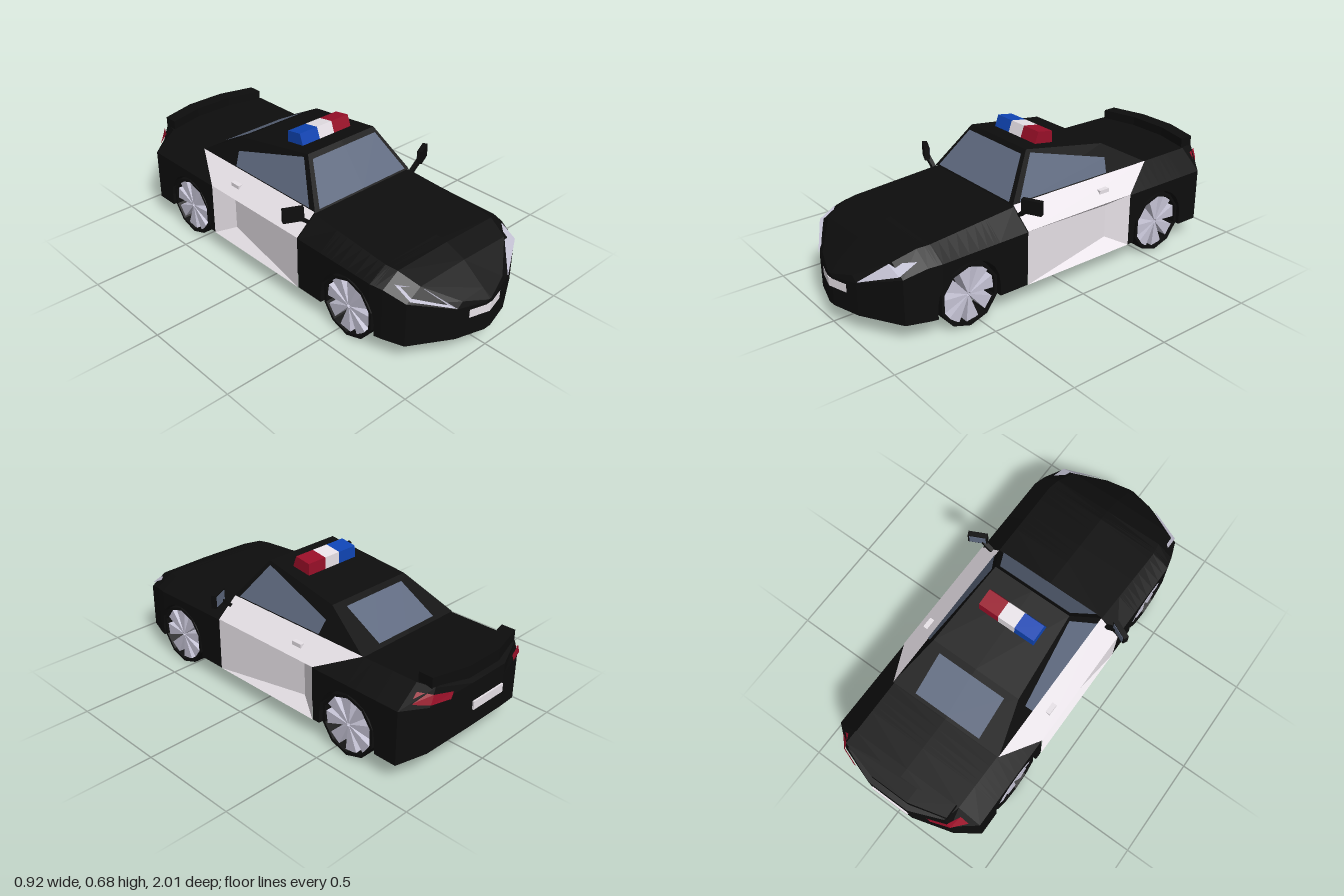
import * as THREE from 'three';

const BLACK = 0x0d0d0d, WHITE = 0xe8e2e8, GLASS = 0x5f6a80, SILVER = 0xc6c4d6, RED = 0x990f28, BLUE = 0x0f45b5;
const mats = {};
const mat = (color) => (mats[color] ??= new THREE.MeshStandardMaterial({ color, flatShading: true }));

function add(group, name, geo, color) {
  const mesh = new THREE.Mesh(geo, mat(color));
  mesh.name = name;
  group.add(mesh);
  return mesh;
}

function fromTriangles(pos) {
  const g = new THREE.BufferGeometry();
  g.setAttribute('position', new THREE.Float32BufferAttribute(pos, 3));
  g.computeVertexNormals();
  return g;
}

// Flat faces given for the left side (+x), mirrored to the right
function panels(faces) {
  const pos = [];
  const fan = (f) => {
    for (let i = 1; i < f.length - 1; i++) pos.push(...f[0], ...f[i], ...f[i + 1]);
  };
  for (const f of faces) {
    fan(f);
    fan(f.map(([x, y, z]) => [-x, y, z]).reverse());
  }
  return fromTriangles(pos);
}

// Body stations: z, half width, shoulder y, deck half width, deck y, centre y, bottom y
const KEYS = [
  [1.0, 0.02, 0.23, 0.01, 0.24, 0.24, 0.09],
  [0.96, 0.16, 0.245, 0.13, 0.27, 0.275, 0.09],
  [0.85, 0.35, 0.305, 0.27, 0.355, 0.36, 0.09],
  [0.75, 0.385, 0.34, 0.3, 0.395, 0.4, 0.09],
  [0.69, 0.4, 0.345, 0.31, 0.4, 0.41, 0.09],
  [0.246, 0.4, 0.35, 0.3, 0.435, 0.44, 0.09],
  [0.244, 0.33, 0.33, 0.29, 0.435, 0.44, 0.09],
  [-0.374, 0.33, 0.33, 0.29, 0.435, 0.44, 0.09],
  [-0.376, 0.4, 0.35, 0.295, 0.44, 0.44, 0.09],
  [-0.85, 0.4, 0.35, 0.29, 0.44, 0.44, 0.09],
  [-0.93, 0.3, 0.36, 0.27, 0.44, 0.44, 0.14],
  [-0.992, 0.11, 0.36, 0.11, 0.42, 0.42, 0.21],
];
const AXLES = [0.555, -0.575], ARCH = 0.16, HUB_Y = 0.15;

function stationAt(z) {
  let i = 0;
  while (i < KEYS.length - 2 && KEYS[i + 1][0] > z) i++;
  const a = KEYS[i], b = KEYS[i + 1], t = (a[0] - z) / (a[0] - b[0]);
  return a.map((v, k) => v + (b[k] - v) * t);
}

// Lower body lofted from nose to tail, with the wheel arches cut in
function bodyGeometry() {
  const archY = (z) => {
    const c = AXLES.find((a) => Math.abs(z - a) < ARCH);
    return c === undefined ? 0 : HUB_Y + Math.sqrt(ARCH ** 2 - (z - c) ** 2);
  };
  const cuts = KEYS.map((k) => [k[0], archY(k[0])]);
  for (const c of AXLES) {
    cuts.push([c + ARCH + 1e-4, 0], [c - ARCH - 1e-4, 0]);
    for (let i = 0; i <= 10; i++) {
      const a = (i / 10) * Math.PI;
      cuts.push([c + ARCH * Math.cos(a), HUB_Y + ARCH * Math.sin(a)]);
    }
  }
  cuts.sort((a, b) => b[0] - a[0]);
  const rings = cuts.map(([z, arch]) => {
    const [, w, sh, xd, yd, yc, yb] = stationAt(z);
    const inner = Math.min(0.285, w), ya = Math.max(yb, arch);
    const half = [[inner, yb], [inner, ya], [w, ya], [w, sh], [xd, yd]];
    const left = half.map(([x, y]) => [x, y, z]);
    const right = half.map(([x, y]) => [-x, y, z]).reverse();
    return [[0, yb, z], ...left, [0, yc, z], ...right];
  });
  const pos = [], n = rings[0].length;
  for (let i = 0; i < rings.length - 1; i++) {
    for (let j = 0; j < n; j++) {
      const k = (j + 1) % n;
      const a = rings[i][j], b = rings[i][k], c = rings[i + 1][j], d = rings[i + 1][k];
      pos.push(...a, ...c, ...d, ...a, ...d, ...b);
    }
  }
  const first = rings[0], last = rings[rings.length - 1];
  for (let j = 1; j < n - 1; j++) {
    pos.push(...first[0], ...first[j], ...first[j + 1], ...last[0], ...last[j + 1], ...last[j]);
  }
  return fromTriangles(pos);
}

// Ten-sided open tyre with wedge spokes
function makeWheel(side, z) {
  const wheel = new THREE.Group();
  wheel.name = (z > 0 ? 'front' : 'rear') + (side > 0 ? 'Left' : 'Right') + 'Wheel';
  const ring = (r) => Array.from({ length: 10 }, (_, i) => {
    const a = Math.PI / 2 + (i * Math.PI) / 5;
    return new THREE.Vector2(r * Math.cos(a), r * Math.sin(a));
  });
  const tyre = new THREE.Shape(ring(0.15));
  tyre.holes.push(new THREE.Path(ring(0.136).reverse()));
  const spokes = Array.from({ length: 8 }, (_, i) => {
    const a = 0.14 + (i * Math.PI) / 4;
    const p = (r, da) => new THREE.Vector2(r * Math.cos(a + da), r * Math.sin(a + da));
    return new THREE.Shape([p(0.01, -0.35), p(0.132, -0.24), p(0.132, 0.24), p(0.01, 0.35)]);
  });
  const extrude = (shape, depth) =>
    new THREE.ExtrudeGeometry(shape, { depth, bevelEnabled: false }).translate(0, 0, -depth / 2).rotateY(Math.PI / 2);
  add(wheel, 'tyre', extrude(tyre, 0.1), BLACK);
  add(wheel, 'spokes', extrude(spokes, 0.08), SILVER);
  wheel.position.set(side * 0.345, HUB_Y, z);
  return wheel;
}

export function createModel() {
  const car = new THREE.Group();
  car.name = 'patrolCar';
  add(car, 'body', bodyGeometry(), BLACK);

  // Cabin and its glass, on sloping planes
  const wallX = (y, off = 0) => 0.3 - (y - 0.44) * 0.475 + off;
  const wall = (y, z, off) => [wallX(y, off), y, z];
  const A = wall(0.44, 0.25), B = wall(0.64, 0.1), C = wall(0.575, -0.33), D = wall(0.44, -0.57);
  const mid = ([, y, z]) => [0, y, z];
  add(car, 'cabin', panels([
    [mid(A), A, B, mid(B)], [mid(B), B, C, mid(C)], [mid(C), C, D, mid(D)], [A, D, C, B],
  ]), BLACK);
  const screen = (x, y) => [x, y + 0.003, 0.254 - (y - 0.44) * 0.75];
  add(car, 'windscreen', panels([[screen(0, 0.447), screen(0.272, 0.447), screen(0.195, 0.618), screen(0, 0.618)]]), GLASS);
  const back = (x, z) => [x, 0.579 + (z + 0.33) * 0.5625, z - 0.002];
  add(car, 'rearWindow', panels([[back(0, -0.36), back(0.18, -0.36), back(0.18, -0.553), back(0, -0.553)]]), GLASS);
  add(car, 'sideWindows', panels([[
    wall(0.45, 0.21, 0.004), wall(0.45, -0.31, 0.004), wall(0.515, -0.325, 0.004), wall(0.625, 0.085, 0.004),
  ]]), GLASS);

  // White doors with a scooped lower panel
  const T1 = [0.402, 0.355, 0.245], T2 = [0.402, 0.355, -0.375];
  const B1 = [0.402, 0.09, 0.245], B2 = [0.402, 0.09, -0.375];
  const It = [0.345, 0.31, -0.27], Ib = [0.345, 0.145, -0.27];
  add(car, 'doors', panels([
    [B1, Ib, It, T1], [B1, B2, Ib], [T1, It, T2], [Ib, B2, T2, It],
    [T1, T2, [0.298, 0.444, -0.57], [0.298, 0.444, 0.245]],
  ]), WHITE);
  add(car, 'sills', panels([[B1, [0.32, 0.09, 0.245], [0.32, 0.09, -0.375], B2]]), BLACK);

  // Lamps
  add(car, 'headlights', panels([[
    [0.26, 0.345, 0.862], [0.165, 0.252, 0.964], [0.34, 0.318, 0.86], [0.345, 0.362, 0.775],
  ]]), SILVER);
  const lb = [[0.358, 0.375, -0.875], [0.303, 0.375, -0.937], [0.215, 0.38, -0.968]];
  const lt = [[0.318, 0.418, -0.875], [0.287, 0.418, -0.937], [0.2, 0.41, -0.968]];
  add(car, 'tailLights', panels([0, 1].map((i) => [lb[i], lb[i + 1], lt[i + 1], lt[i]])), RED);

  // Number plates, the front one bent around the nose
  const plate = new THREE.BoxGeometry(0.2, 0.04, 0.012, 2, 1, 1);
  const pp = plate.attributes.position;
  for (let i = 0; i < pp.count; i++) pp.setZ(i, pp.getZ(i) - Math.abs(pp.getX(i)) * 0.28);
  add(car, 'frontPlate', plate.translate(0, 0.2, 1.0), WHITE);
  add(car, 'rearPlate', new THREE.BoxGeometry(0.2, 0.04, 0.012).translate(0, 0.31, -0.994), WHITE);

  // Ducktail spoiler
  const plan = [[0.28, 0.85], [0.28, 0.92], [0.1, 0.968], [-0.1, 0.968], [-0.28, 0.92], [-0.28, 0.85], [-0.1, 0.895], [0.1, 0.895]];
  const tail = new THREE.Shape(plan.map(([x, y]) => new THREE.Vector2(x, y)));
  add(car, 'spoiler', new THREE.ExtrudeGeometry(tail, { depth: 0.07, bevelEnabled: false })
    .rotateX(-Math.PI / 2).translate(0, 0.415, 0), BLACK);

  // Roof light bar: three tapered blocks
  [[-0.0975, 0.105, BLUE, 'blueLight'], [0, 0.09, WHITE, 'whiteLight'], [0.0975, 0.105, RED, 'redLight']].forEach(([x, w, color, name]) => {
    const g = new THREE.BoxGeometry(w, 0.06, 0.105);
    const p = g.attributes.position;
    for (let i = 0; i < p.count; i++) if (p.getY(i) > 0) p.setZ(i, p.getZ(i) * 0.78);
    const block = add(car, name, g, color);
    block.position.set(x, 0.643, -0.053);
    block.rotation.x = -0.16;
  });

  // Paired parts
  for (const s of [1, -1]) {
    for (const z of AXLES) car.add(makeWheel(s, z));
    add(car, 'doorHandle', new THREE.BoxGeometry(0.025, 0.018, 0.055).translate(s * 0.353, 0.397, -0.24), WHITE);
    add(car, 'diffuserFin', new THREE.BoxGeometry(0.05, 0.05, 0.06).translate(s * 0.1, 0.225, -0.95), BLACK);

    const mirror = new THREE.Group();
    mirror.name = s > 0 ? 'leftMirror' : 'rightMirror';
    add(mirror, 'mirrorShell', new THREE.BoxGeometry(0.095, 0.065, 0.025), BLACK);
    add(mirror, 'mirrorGlass', new THREE.BoxGeometry(0.08, 0.052, 0.004).translate(0, 0, -0.013), GLASS);
    mirror.position.set(s * 0.412, 0.473, 0.232);
    mirror.rotation.y = s * 0.45;
    car.add(mirror);
    const arm = add(car, 'mirrorArm', new THREE.BoxGeometry(0.09, 0.018, 0.02), BLACK);
    arm.position.set(s * 0.355, 0.425, 0.238);
    arm.rotation.z = s * 0.7;
  }
  return car;
}
